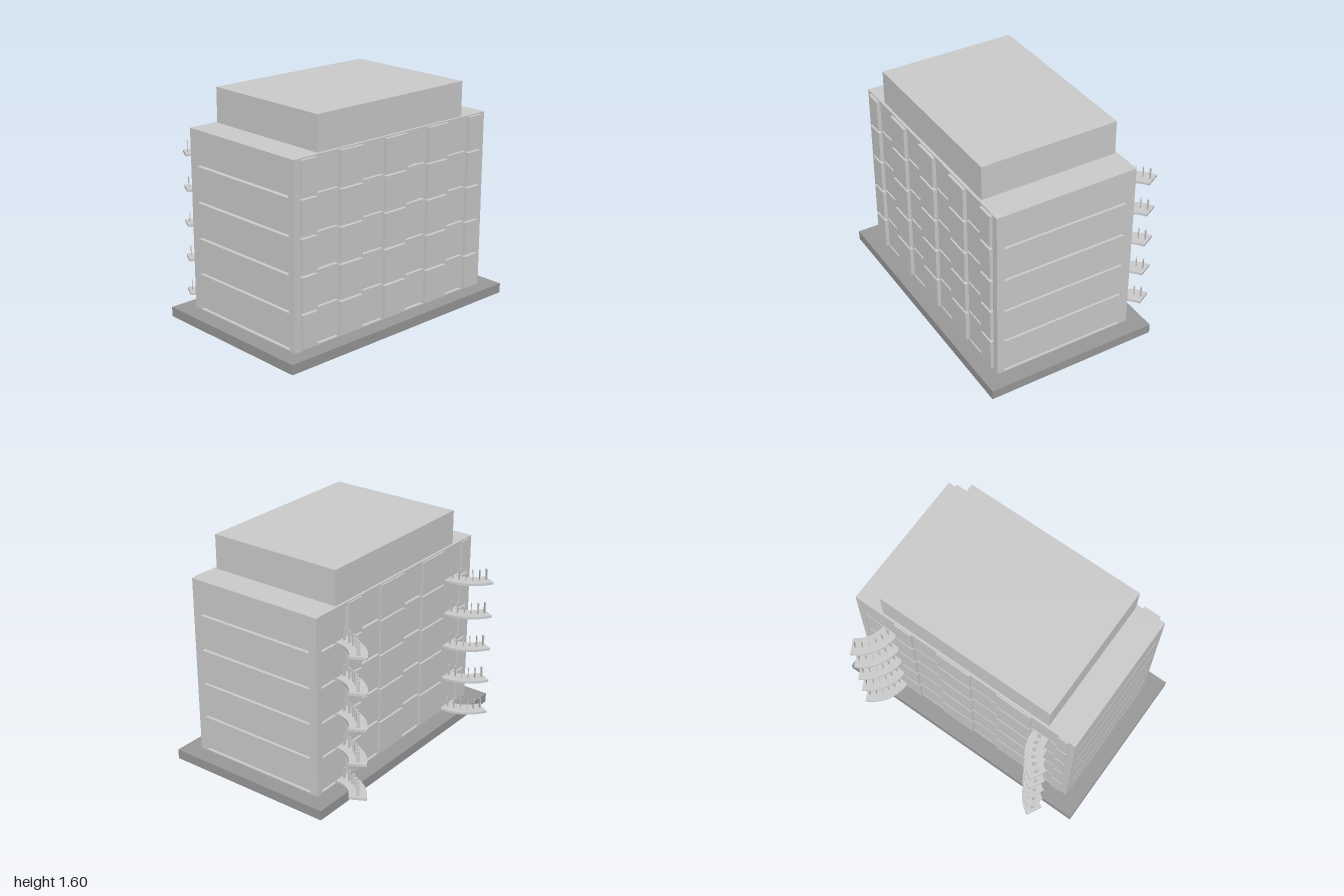
import * as THREE from 'three';

const grey = new THREE.MeshStandardMaterial({ color: 0xcccccc, flatShading: true });
const dark = new THREE.MeshStandardMaterial({ color: 0x999999, flatShading: true });

const FLOORS = 5, PITCH = 0.2555, FIRST = 0.078, GAP = 0.017;
const BASE = 0.07, TOP = 1.355, HALF = 0.88, BACK = -0.432, FRONT = 0.605;
const floorY = (i) => FIRST + i * PITCH;

// Box given by its extents
function box(parent, name, x0, x1, y0, y1, z0, z1, material = grey) {
  const mesh = new THREE.Mesh(new THREE.BoxGeometry(x1 - x0, y1 - y0, z1 - z0), material);
  mesh.position.set((x0 + x1) / 2, (y0 + y1) / 2, (z0 + z1) / 2);
  mesh.name = name;
  parent.add(mesh);
  return mesh;
}

// Side wall with one long thin slot per floor
function sideWall(x) {
  const shape = new THREE.Shape();
  const rect = (path, z0, z1, y0, y1) => path
    .moveTo(-z1, y0).lineTo(-z0, y0).lineTo(-z0, y1).lineTo(-z1, y1).closePath();
  rect(shape, BACK, FRONT, BASE, TOP);
  for (let i = 0; i < FLOORS; i++) {
    const slot = new THREE.Path();
    rect(slot, -0.37, 0.55, floorY(i), floorY(i) + GAP);
    shape.holes.push(slot);
  }
  const geometry = new THREE.ExtrudeGeometry(shape, { depth: 0.05, bevelEnabled: false });
  geometry.rotateY(Math.PI / 2);
  const mesh = new THREE.Mesh(geometry, grey);
  mesh.position.x = x;
  mesh.name = 'sideWall';
  return mesh;
}

// Facade: raised panels on pillars, flush panels between, open joints at floor level.
// dir is +1 for the front and -1 for the back.
function facade(name, dir, face, raise, raised, flush) {
  const group = new THREE.Group();
  group.name = name;
  const slab = (label, x0, x1, y0, y1, inner, outer) => {
    const a = face + dir * inner, b = face + dir * outer;
    box(group, label, x0, x1, y0, y1, Math.min(a, b), Math.max(a, b));
  };
  for (const [x0, x1] of raised) {
    slab('pillar', x0, x1, BASE, TOP - 0.02, -0.03, -0.005);
    for (let i = 0; i < FLOORS; i++) {
      slab('raisedPanel', x0, x1, floorY(i) + 0.012, floorY(i) + 0.246, -0.005, raise);
    }
  }
  for (const [x0, x1] of flush) {
    slab('sill', x0, x1, BASE, FIRST, -0.03, -0.005);
    for (let i = 0; i < FLOORS; i++) {
      const top = i === FLOORS - 1 ? TOP - 0.02 : floorY(i + 1);
      slab('flushPanel', x0, x1, floorY(i) + GAP, top, -0.03, -0.005);
    }
  }
  return group;
}

// Curved balcony deck with a row of upright fins, centred on its arc centre
function balcony() {
  const group = new THREE.Group();
  group.name = 'balcony';
  const sweep = THREE.MathUtils.degToRad(62), inner = 0.21, outer = 0.33;
  const shape = new THREE.Shape();
  shape.absarc(0, 0, outer, -sweep, sweep, false);
  shape.absarc(0, 0, inner, sweep, -sweep, true);
  shape.closePath();
  const geometry = new THREE.ExtrudeGeometry(shape, { depth: GAP, bevelEnabled: false, curveSegments: 20 });
  geometry.rotateX(-Math.PI / 2);
  const deck = new THREE.Mesh(geometry, grey);
  deck.name = 'deck';
  group.add(deck);
  const finGeometry = new THREE.BoxGeometry(0.023, 0.08, 0.006);
  for (let k = 0; k < 12; k++) {
    const angle = THREE.MathUtils.degToRad(-57 + (114 / 11) * k);
    const fin = new THREE.Mesh(finGeometry, grey);
    fin.position.set(0.27 * Math.cos(angle), GAP + 0.04, -0.27 * Math.sin(angle));
    fin.rotation.y = angle;
    fin.name = 'railingFin';
    group.add(fin);
  }
  return group;
}

export function createModel() {
  const model = new THREE.Group();
  model.name = 'building';

  // Ground slab, roof and rooftop block
  box(model, 'groundSlab', -1, 1, 0, BASE, -0.55, 0.715, dark);
  box(model, 'roof', -HALF + 0.05, HALF - 0.05, TOP - 0.02, TOP, BACK, FRONT);
  box(model, 'rooftopBlock', -0.665, 0.665, TOP, 1.6, -0.415, 0.585);

  // Side walls
  model.add(sideWall(HALF - 0.05), sideWall(-HALF));

  // Front facade: evenly alternating bays
  model.add(facade('frontFacade', 1, FRONT, 0.022,
    [[-0.83, -0.705], [-0.5, -0.305], [-0.097, 0.097], [0.305, 0.5], [0.705, 0.83]],
    [[-0.705, -0.5], [-0.305, -0.097], [0.097, 0.305], [0.5, 0.705]]));

  // Back facade, with a narrow upright joint beside one row of balconies
  model.add(facade('backFacade', -1, BACK, 0.011,
    [[-0.83, -0.75], [-0.54, -0.27], [-0.056, 0.212], [0.42, 0.56]],
    [[-0.75, -0.54], [-0.27, -0.056], [0.212, 0.42], [0.58, 0.83]]));

  // Balconies on both sides of the back
  for (const side of [-1, 1]) {
    for (let i = 0; i < FLOORS; i++) {
      const unit = balcony();
      unit.position.set(side * 0.89, floorY(i), -0.428);
      if (side > 0) unit.rotation.y = Math.PI;
      model.add(unit);
    }
  }
  return model;
}
